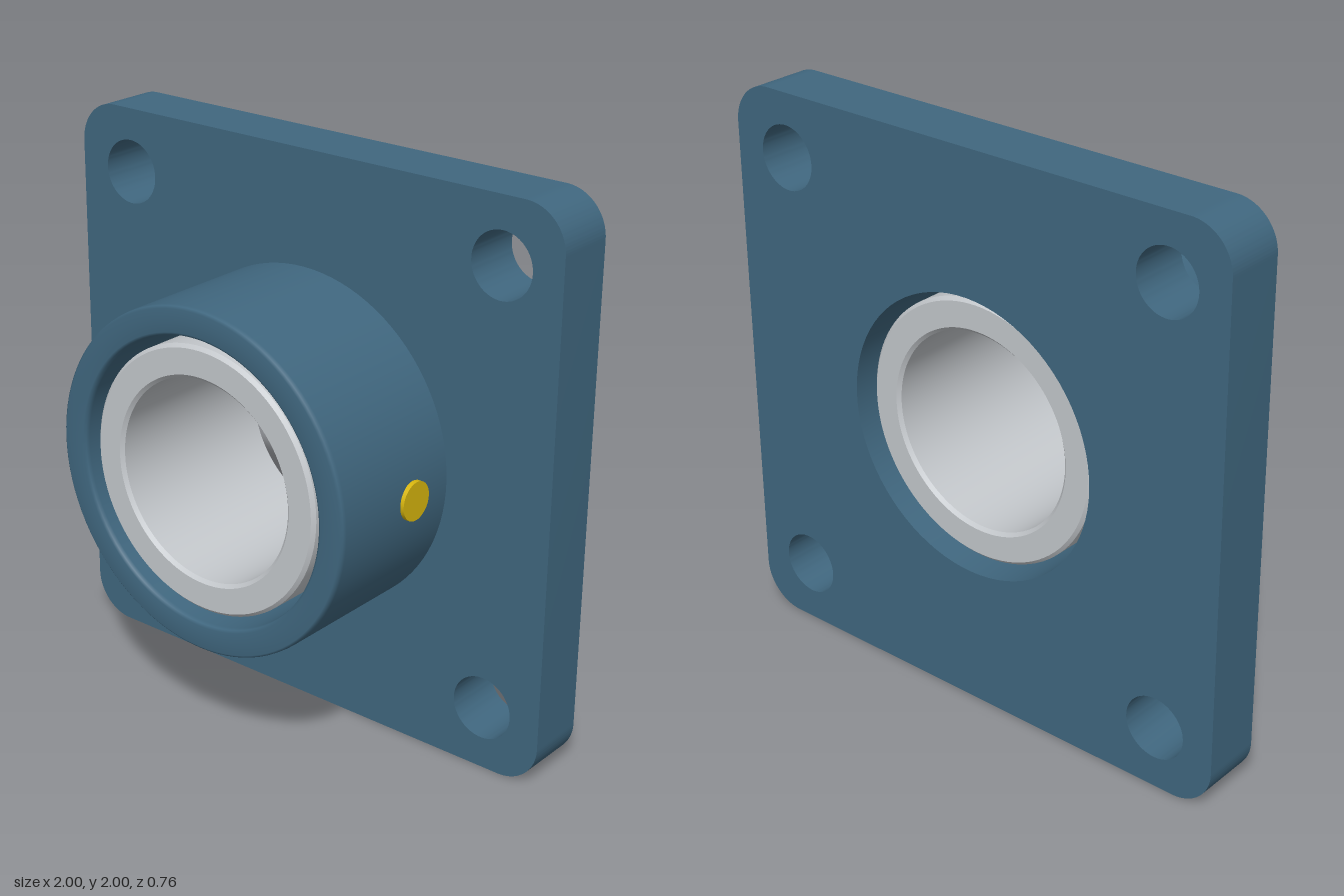
import * as THREE from 'three';
import { toCreasedNormals } from 'three/addons/utils/BufferGeometryUtils.js';

const material = (name, color) => {
  const m = new THREE.MeshStandardMaterial({ color });
  m.name = name;
  return m;
};

export function createModel() {
  const blue = material('blue paint', 0x40677f);
  const steel = material('steel', 0xc4c8cc);
  const brass = material('yellow brass', 0xd8b60e);

  const model = new THREE.Group();
  model.name = 'flangeBearing';
  const centre = new THREE.Group(); // bore axis runs along z at half height
  centre.name = 'bearing';
  centre.position.y = 1;
  model.add(centre);

  const add = (name, geometry, mat) => {
    const mesh = new THREE.Mesh(geometry, mat);
    mesh.name = name;
    centre.add(mesh);
    return mesh;
  };

  // Lathe around the z axis from [radius, z] pairs
  const turn = (profile) =>
    new THREE.LatheGeometry(profile.map(([r, z]) => new THREE.Vector2(r, z)), 96).rotateX(Math.PI / 2);

  // Square flange with rounded corners, bolt holes and a central bore
  const r = 0.15, c = 1 - r;
  const outline = new THREE.Shape();
  outline.absarc(c, c, r, 0, Math.PI / 2);
  outline.absarc(-c, c, r, Math.PI / 2, Math.PI);
  outline.absarc(-c, -c, r, Math.PI, Math.PI * 1.5);
  outline.absarc(c, -c, r, Math.PI * 1.5, Math.PI * 2);
  outline.closePath();
  const cutHole = (x, y, radius) => {
    const hole = new THREE.Path();
    hole.absarc(x, y, radius, 0, Math.PI * 2, true);
    outline.holes.push(hole);
  };
  cutHole(0, 0, 0.5);
  for (const x of [-0.775, 0.775]) for (const y of [-0.775, 0.775]) cutHole(x, y, 0.113);
  const plate = new THREE.ExtrudeGeometry(outline, { depth: 0.22, bevelEnabled: false, curveSegments: 40 });
  plate.translate(0, 0, -0.38);
  add('flange', toCreasedNormals(plate, Math.PI / 5), blue);

  // Hub with softened rim
  add('hub', turn([
    [0.6, -0.17], [0.6, 0.36], [0.598, 0.374], [0.59, 0.38], [0.55, 0.38],
    [0.512, 0.38], [0.503, 0.374], [0.5, 0.36], [0.5, -0.17],
  ]), blue);

  // Inner ring, closed profile with small chamfers
  const front = 0.355, back = -0.33, b = 0.012;
  add('innerRing', toCreasedNormals(turn([
    [0.353, back + b], [0.353 + b, back], [0.467 - b, back], [0.467, back + b],
    [0.467, front - b], [0.467 - b, front], [0.353 + b, front], [0.353, front - b],
    [0.353, back + b],
  ]), Math.PI / 5), steel);

  // Radial pins: cylinders lying along a spoke at the given angle
  const radialPin = (name, mat, radius, from, to, angle, z) => {
    const geometry = new THREE.CylinderGeometry(radius, radius, to - from, 32);
    geometry.rotateZ(-Math.PI / 2).translate((from + to) / 2, 0, z).rotateZ(angle);
    add(name, geometry, mat);
  };
  radialPin('greaseFitting', brass, 0.067, 0.45, 0.613, 0, 0.02);
  for (const degrees of [50, 170]) {
    radialPin('setScrew', steel, 0.06, 0.43, 0.495, THREE.MathUtils.degToRad(degrees), 0.2);
  }

  return model;
}
